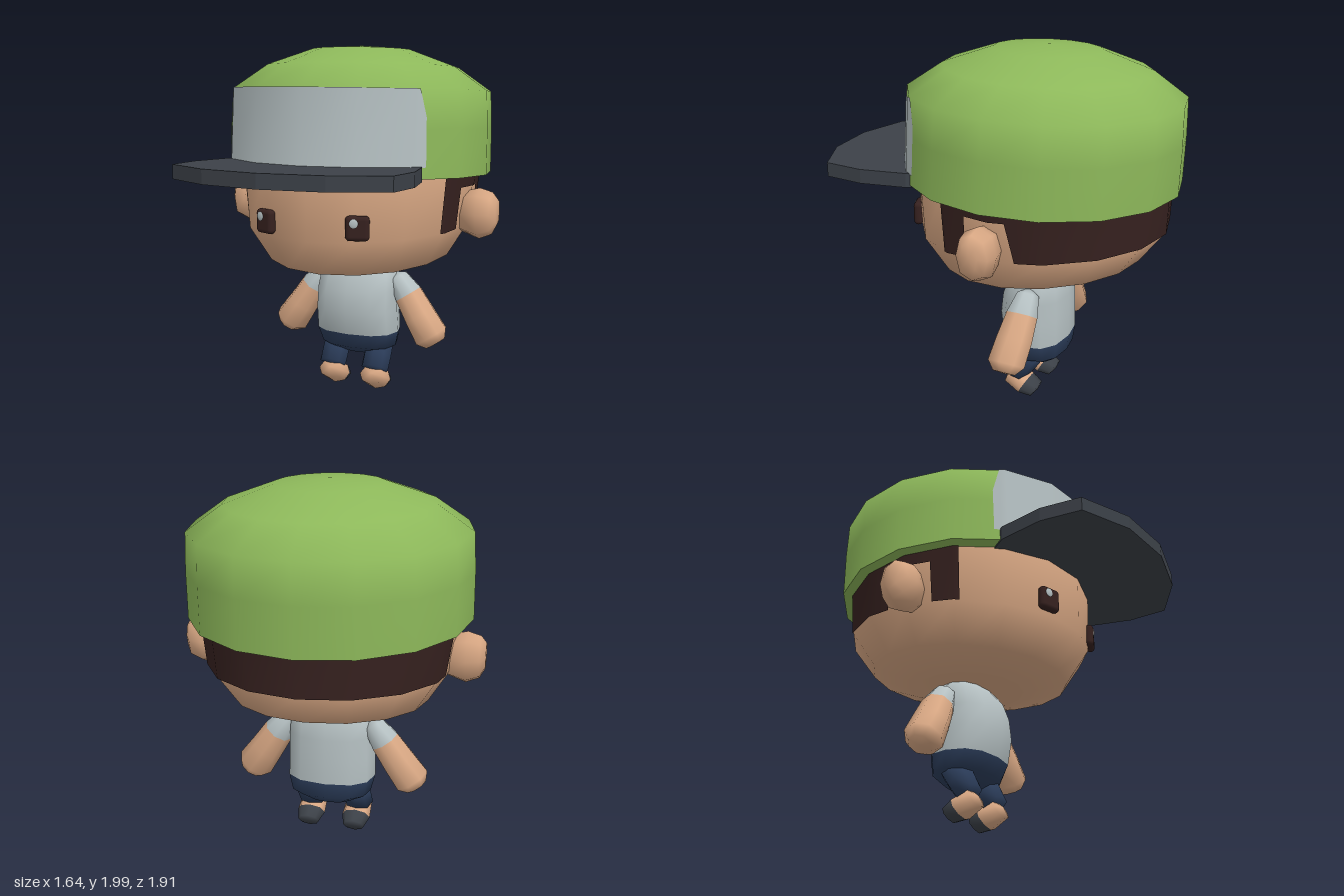
import * as THREE from 'three';
import { mergeVertices, toCreasedNormals } from 'three/addons/utils/BufferGeometryUtils.js';
import { RoundedBoxGeometry } from 'three/addons/geometries/RoundedBoxGeometry.js';

const mat = (name, color) => Object.assign(new THREE.MeshStandardMaterial({ color }), { name });
const DEG = Math.PI / 180;

// Closed skin through cross-sections [centre, u, v, material of the band that follows].
function loft(name, n, sections, power = 1, crease = 0) {
  const pos = [], index = [], mats = [];
  const geo = new THREE.BufferGeometry();
  const soft = (v) => (Math.abs(v) < 1e-6 ? 0 : Math.sign(v) * Math.abs(v) ** power);
  for (const [c, u, v] of sections) {
    for (let i = 0; i < n; i++) {
      const a = (i / n) * Math.PI * 2, s = soft(Math.sin(a)), k = soft(Math.cos(a));
      for (let j = 0; j < 3; j++) pos.push(c[j] + u[j] * s + v[j] * k);
    }
  }
  for (let r = 0; r < sections.length - 1; r++) {
    const m = sections[r][3] ?? mats[mats.length - 1];
    mats.push(m);
    geo.addGroup(index.length, n * 6, r);
    for (let i = 0; i < n; i++) {
      const a = r * n + i, b = r * n + ((i + 1) % n), c = a + n, d = b + n;
      index.push(a, b, d, a, d, c);
    }
  }
  // Turn the faces outward if the signed volume is negative.
  const P = (i) => new THREE.Vector3().fromArray(pos, i * 3);
  let volume = 0;
  for (let i = 0; i < index.length; i += 3) volume += P(index[i]).dot(P(index[i + 1]).cross(P(index[i + 2])));
  if (volume < 0) for (let i = 0; i < index.length; i += 3) [index[i], index[i + 1]] = [index[i + 1], index[i]];
  geo.setAttribute('position', new THREE.Float32BufferAttribute(pos, 3));
  geo.setIndex(index);
  let out = mergeVertices(geo, 1e-5);
  out.computeVertexNormals();
  if (crease) out = toCreasedNormals(out, crease);
  const single = mats.every((m) => m === mats[0]);
  if (single) out.clearGroups();
  const mesh = new THREE.Mesh(out, single ? mats[0] : mats);
  mesh.name = name;
  return mesh;
}

// Point of a 16-sided unit ring at any angle, measured from the front.
function ringPoint(deg) {
  const step = 22.5, off = (((deg % step) + step) % step) - step / 2;
  const k = Math.cos(11.25 * DEG) / Math.cos(off * DEG);
  return [Math.sin(deg * DEG) * k, Math.cos(deg * DEG) * k];
}

// Thin painted layer over a 16-sided wall; point(deg, end) gives its lower and upper edge.
function wallPatch(name, breaks, point, material) {
  const lo = breaks[0], hi = breaks[breaks.length - 1];
  const angles = [...breaks];
  for (let a = -360; a <= 360; a += 22.5) if (a > lo && a < hi && !angles.includes(a)) angles.push(a);
  angles.sort((a, b) => a - b);
  const pos = [], index = [];
  angles.forEach((a, i) => {
    pos.push(...point(a, 0), ...point(a, 1));
    const k = i * 2;
    if (i < angles.length - 1) index.push(k, k + 2, k + 3, k, k + 3, k + 1);
  });
  const geo = new THREE.BufferGeometry();
  geo.setAttribute('position', new THREE.Float32BufferAttribute(pos, 3));
  geo.setIndex(index);
  geo.computeVertexNormals();
  const mesh = new THREE.Mesh(geo, material);
  mesh.name = name;
  return mesh;
}

export function createModel() {
  const model = new THREE.Group();
  model.name = 'boyWithCap';
  const skin = mat('skin', 0xd9a884);
  const green = mat('capGreen', 0x8db85a);
  const pale = mat('paleGrey', 0xb6c1c3);
  const charcoal = mat('charcoal', 0x3c4148);
  const brown = mat('darkBrown', 0x36211f);
  const navy = mat('navy', 0x2b3c59);

  // Head: round drum with a shallow, forward-dipping jaw
  const headRing = (y, rx, rz, dip = 0, z = -0.22) => [[0, y, z], [rx, 0, 0], [0, -dip, rz], skin];
  model.add(loft('head', 16, [
    headRing(0.765, 0, 0, 0, -0.25), headRing(0.777, 0.28, 0.29, 0.022, -0.24), headRing(0.845, 0.53, 0.55, 0.05),
    headRing(1.03, 0.645, 0.68, 0.04), headRing(1.36, 0.68, 0.688), headRing(1.5, 0.6, 0.6), headRing(1.5, 0, 0),
  ]));

  // Hair band with sideburns and a notch over each ear
  const hairPoint = (deg, end) => {
    const [px, pz] = ringPoint(deg), base = 1.03 - 0.04 * pz;
    const fromBack = Math.abs(180 - deg);
    const notch = fromBack > 82.5 && fromBack < 102.2;
    const y = end ? 1.34 : notch ? 1.245 : base;
    const t = (y - base) / (1.36 - base);
    return [px * (0.653 + 0.035 * t), y, -0.22 + pz * (0.688 + 0.008 * t)];
  };
  model.add(wallPatch('hair', [65, 77.5, 78, 97, 100.5, 259.5, 263, 282, 282.5, 295], hairPoint, brown));

  // Cap, tipped slightly back
  const cap = new THREE.Group();
  cap.name = 'cap';
  cap.position.set(0, 1.305, -0.21);
  cap.rotation.x = -0.035;
  const capRing = (y, r) => [[0, y, 0], [r, 0, 0], [0, 0, r], green];
  cap.add(loft('crown', 16, [
    capRing(0, 0), capRing(0, 0.747), capRing(0.25, 0.744), capRing(0.45, 0.733),
    capRing(0.578, 0.548), capRing(0.672, 0.285), capRing(0.695, 0),
  ], 1, 1.25));
  const panelPoint = (deg, end) => {
    const [px, pz] = ringPoint(deg);
    const y = end ? (Math.abs(deg) > 48 ? 0.31 : 0.45) : 0.06;
    const r = 0.753 - 0.014 * (y / 0.45);
    return [px * r, y, pz * r];
  };
  cap.add(wallPatch('frontPanel', [-50.5, -47.5, 47.5, 50.5], panelPoint, pale));
  model.add(cap);

  // Brim
  const half = [[0.48, 0.19], [0.565, 0.3], [0.618, 0.54], [0.6, 0.76], [0.33, 0.9]];
  const outline = [...half, [0, 0.95], ...half.map(([x, z]) => [-x, z]).reverse()];
  const brimGeo = new THREE.ExtrudeGeometry(
    new THREE.Shape(outline.map(([x, z]) => new THREE.Vector2(x, z))), { depth: 0.075, bevelEnabled: false });
  brimGeo.rotateX(Math.PI / 2);
  const brim = new THREE.Mesh(brimGeo, charcoal);
  brim.name = 'brim';
  brim.position.y = 1.383;
  brim.rotation.x = -0.015;
  model.add(brim);

  // Torso: shirt above, trousers below
  const bodyRing = (y, rx, front, back, m) =>
    [[0, y, (front + back) / 2], [rx, 0, 0], [0, 0, (front - back) / 2], m];
  model.add(loft('torso', 12, [
    bodyRing(0.212, 0, -0.25, -0.25, navy), bodyRing(0.222, 0.12, -0.16, -0.32, navy),
    bodyRing(0.275, 0.225, -0.07, -0.375, navy), bodyRing(0.365, 0.247, -0.03, -0.385, pale),
    bodyRing(0.5, 0.243, -0.005, -0.383, pale), bodyRing(0.62, 0.24, -0.02, -0.38, pale),
    bodyRing(0.72, 0.23, -0.06, -0.37, pale), bodyRing(0.78, 0.17, -0.11, -0.33, pale),
    bodyRing(0.79, 0, -0.22, -0.22),
  ], 0.8));

  for (const s of [1, -1]) {
    const side = s > 0 ? 'left' : 'right';

    // Ear
    const earRing = (x, rz, ry, y = 1.1) => [[s * x, y, -0.197], [0, 0, rz], [0, ry, 0], skin];
    model.add(loft(side + 'Ear', 8, [
      earRing(0.61, 0, 0), earRing(0.62, 0.08, 0.11), earRing(0.72, 0.098, 0.14, 1.095),
      earRing(0.79, 0.085, 0.115), earRing(0.818, 0.045, 0.07, 1.11), earRing(0.82, 0, 0, 1.11),
    ], 0.85));

    // Eye with a small glint
    const eye = new THREE.Group();
    eye.name = side + 'Eye';
    eye.position.set(s * 0.265, 1.075, 0.412);
    eye.rotation.y = s * 0.36;
    const iris = new THREE.Mesh(new RoundedBoxGeometry(0.125, 0.13, 0.05, 3, 0.024), brown);
    iris.name = 'iris';
    const glint = new THREE.Mesh(new THREE.SphereGeometry(0.024, 10, 8), pale);
    glint.name = 'glint';
    glint.scale.z = 0.25;
    glint.position.set(-0.018, 0.027, 0.024);
    eye.add(iris, glint);
    model.add(eye);

    // Arm: short sleeve, then bare forearm and rounded hand
    const armRing = (x, y, z, ru, rv, m) =>
      [[s * x, y, z], [s * 0.83 * ru, 0.55 * ru, 0], [0, 0, rv], m];
    model.add(loft(side + 'Arm', 8, [
      armRing(0.21, 0.715, -0.235, 0, 0, pale), armRing(0.232, 0.685, -0.235, 0.06, 0.065, pale),
      armRing(0.3, 0.59, -0.23, 0.085, 0.092, skin), armRing(0.375, 0.475, -0.22, 0.094, 0.105, skin),
      armRing(0.45, 0.365, -0.21, 0.104, 0.108, skin), armRing(0.477, 0.325, -0.21, 0.065, 0.065, skin),
      armRing(0.478, 0.321, -0.21, 0, 0),
    ]));

    // Trouser leg, slanting forward
    const legRing = (y, z, rx, rv) => [[s * 0.135, y, z], [rx, 0, 0], [0, 0.55 * rv, 0.83 * rv], navy];
    model.add(loft(side + 'TrouserLeg', 8, [
      legRing(0.3, -0.225, 0, 0), legRing(0.29, -0.215, 0.08, 0.08), legRing(0.22, -0.17, 0.084, 0.078),
      legRing(0.15, -0.125, 0.084, 0.068), legRing(0.135, -0.115, 0, 0),
    ]));

    // Foot, bent back with a dark sole
    const footRing = (y, z, rx, rv, m) => [[s * 0.132, y, z], [rx, 0, 0], [0, 0.86 * rv, -0.5 * rv], m];
    model.add(loft(side + 'Foot', 8, [
      footRing(0.135, -0.075, 0, 0, skin), footRing(0.12, -0.09, 0.075, 0.055, skin),
      footRing(0.075, -0.18, 0.08, 0.066, charcoal), footRing(0.05, -0.245, 0.06, 0.048, charcoal),
      footRing(0.05, -0.255, 0, 0),
    ]));
  }
  return model;
}
